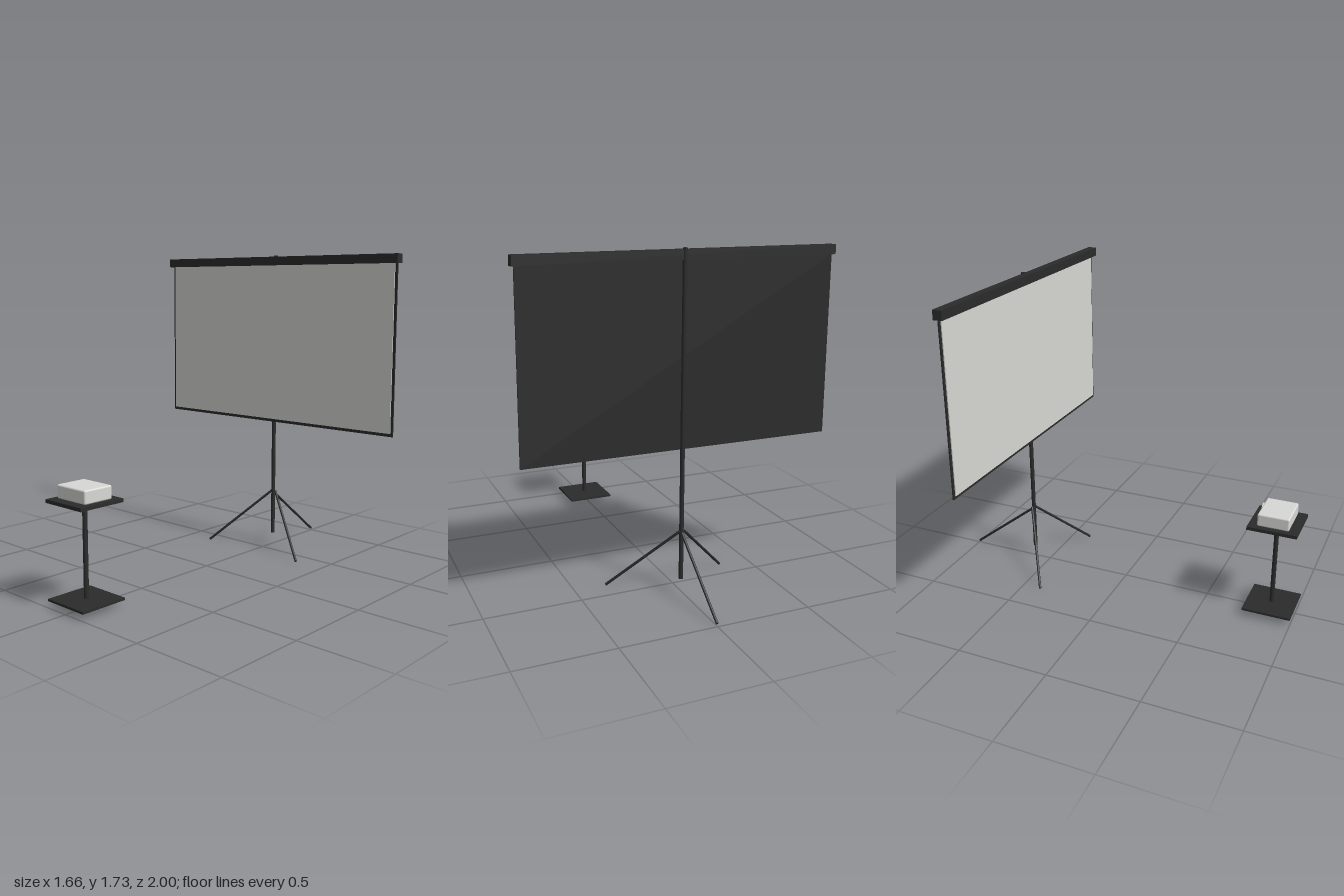
import * as THREE from 'three';
import { RoundedBoxGeometry } from 'three/addons/geometries/RoundedBoxGeometry.js';

export function createModel() {
  const model = new THREE.Group();
  model.name = 'projectorAndScreen';

  const black = new THREE.MeshStandardMaterial({ color: 0x2b2b2b });
  black.name = 'black';
  const white = new THREE.MeshStandardMaterial({ color: 0xd8d8d5 });
  white.name = 'offWhite';

  const add = (parent, name, geometry, material, x, y, z) => {
    const mesh = new THREE.Mesh(geometry, material);
    mesh.name = name;
    mesh.position.set(x, y, z);
    parent.add(mesh);
    return mesh;
  };
  // Box given by its lower and upper corners
  const box = (parent, name, material, a, b) => add(parent, name,
    new THREE.BoxGeometry(b[0] - a[0], b[1] - a[1], b[2] - a[2]), material,
    (a[0] + b[0]) / 2, (a[1] + b[1]) / 2, (a[2] + b[2]) / 2);
  // Round bar between two points
  const bar = (parent, name, radius, a, b) => {
    const from = new THREE.Vector3(...a), to = new THREE.Vector3(...b);
    const dir = to.clone().sub(from);
    const mid = from.clone().add(to).multiplyScalar(0.5);
    const mesh = add(parent, name, new THREE.CylinderGeometry(radius, radius, dir.length(), 20),
      black, mid.x, mid.y, mid.z);
    mesh.quaternion.setFromUnitVectors(new THREE.Vector3(0, 1, 0), dir.normalize());
  };

  // Screen: case, backing with border, white face
  const screen = new THREE.Group();
  screen.name = 'screen';
  model.add(screen);
  box(screen, 'screenCase', black, [-0.83, 1.677, -0.605], [0.83, 1.726, -0.557]);
  box(screen, 'screenBacking', black, [-0.817, 0.755, -0.59], [0.817, 1.68, -0.583]);
  box(screen, 'screenFace', white, [-0.803, 0.772, -0.583], [0.803, 1.68, -0.578]);

  // Tripod: pole and three legs
  const tripod = new THREE.Group();
  tripod.name = 'tripod';
  model.add(tripod);
  bar(tripod, 'pole', 0.0115, [0, 0.07, -0.598], [0, 1.734, -0.598]);
  for (const side of [-1, 1]) {
    bar(tripod, side > 0 ? 'leftLeg' : 'rightLeg', 0.007,
      [side * 0.012, 0.33, -0.603], [side * 0.33, 0.006, -0.392]);
  }
  bar(tripod, 'backLeg', 0.007, [0, 0.324, -0.598], [0, 0.014, -0.995]);

  // Stand: base, post and tray
  const stand = new THREE.Group();
  stand.name = 'projectorStand';
  model.add(stand);
  box(stand, 'base', black, [-0.132, 0.035, 0.735], [0.132, 0.047, 1]);
  bar(stand, 'post', 0.0125, [0, 0.04, 0.868], [0, 0.54, 0.868]);
  box(stand, 'tray', black, [-0.132, 0.528, 0.735], [0.132, 0.546, 1]);

  // Projector with its lens aimed at the screen
  const projector = new THREE.Group();
  projector.name = 'projector';
  model.add(projector);
  add(projector, 'body', new RoundedBoxGeometry(0.21, 0.07, 0.17, 3, 0.009), white, 0, 0.581, 0.867);
  const lens = add(projector, 'lens', new THREE.CylinderGeometry(0.025, 0.025, 0.016, 28), white, 0.047, 0.582, 0.78);
  lens.rotation.x = Math.PI / 2;

  return model;
}
